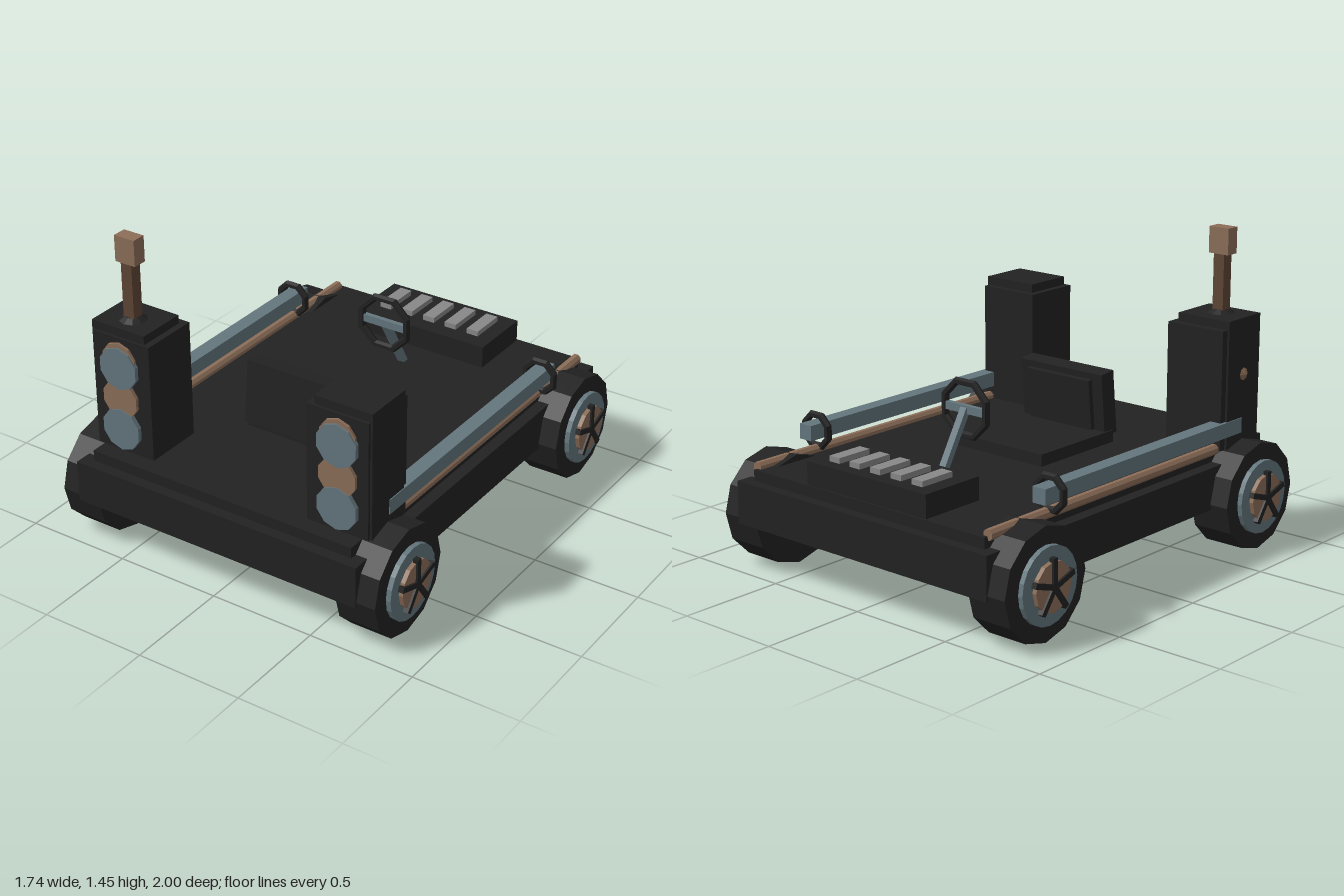
import * as THREE from 'three';

const mat = (name, color) => {
  const m = new THREE.MeshStandardMaterial({ color, flatShading: true });
  m.name = name;
  return m;
};

export function createModel() {
  const black = mat('black', 0x222222);
  const steel = mat('steel blue', 0x64777e);
  const copper = mat('copper', 0x8c6e58);
  const brown = mat('dark brown', 0x5f4635);
  const grey = mat('grey', 0x888888);

  const root = new THREE.Group();
  root.name = 'buggy';

  const add = (parent, name, geo, m, x = 0, y = 0, z = 0) => {
    const mesh = new THREE.Mesh(geo, m);
    mesh.name = name;
    mesh.position.set(x, y, z);
    parent.add(mesh);
    return mesh;
  };
  // box given by its minimum and maximum corners
  const box = (parent, name, m, a, b) => add(parent, name,
    new THREE.BoxGeometry(b[0] - a[0], b[1] - a[1], b[2] - a[2]), m,
    (a[0] + b[0]) / 2, (a[1] + b[1]) / 2, (a[2] + b[2]) / 2);
  const group = (name, x = 0, y = 0, z = 0) => {
    const g = new THREE.Group();
    g.name = name;
    g.position.set(x, y, z);
    root.add(g);
    return g;
  };
  const disc = (r, len, sides, axis) => {
    const g = new THREE.CylinderGeometry(r, r, len, sides);
    return axis === 'x' ? g.rotateZ(-Math.PI / 2) : g.rotateX(Math.PI / 2);
  };

  // chassis and stepped deck
  box(root, 'chassis', black, [-0.725, 0.225, -1], [0.725, 0.42, 1]);
  box(root, 'deck', black, [-0.67, 0.42, -0.95], [0.67, 0.47, 0.95]);

  // wheels: tyre, rim, hub disc and five spokes
  for (const s of [-1, 1]) for (const z of [-0.745, 0.745]) {
    const w = group('wheel', 0, 0.25, z);
    add(w, 'tyre', disc(0.25, 0.195, 12, 'x'), black, s * 0.7175);
    add(w, 'rim', disc(0.17, 0.04, 20, 'x'), steel, s * 0.818);
    add(w, 'hub', disc(0.11, 0.04, 12, 'x'), copper, s * 0.838);
    for (let i = 0; i < 5; i++) {
      const geo = new THREE.BoxGeometry(0.025, 0.125, 0.025).translate(0, 0.0625, 0);
      add(w, 'spoke', geo, black, s * 0.855).rotation.x = i * Math.PI * 2 / 5;
    }
  }

  // side rails with collars
  for (const s of [-1, 1]) {
    const g = group('sideRail');
    add(g, 'upperRail', new THREE.BoxGeometry(0.07, 0.07, 1.365), steel, s * 0.68, 0.565, 0.052);
    const low = new THREE.CylinderGeometry(0.025, 0.025, 1.53, 8).rotateY(Math.PI / 8).rotateX(Math.PI / 2);
    add(g, 'lowerRail', low, copper, s * 0.67, 0.476, -0.165);
    const ring = new THREE.TorusGeometry(0.076, 0.018, 6, 8).rotateZ(Math.PI / 8);
    add(g, 'railCollar', ring, black, s * 0.68, 0.56, -0.56);
  }

  // speaker towers
  for (const s of [-1, 1]) {
    const t = group('speakerTower');
    add(t, 'cabinet', new THREE.BoxGeometry(0.3, 0.55, 0.28), black, s * 0.55, 0.745, 0.732);
    add(t, 'cabinetCore', new THREE.BoxGeometry(0.28, 0.59, 0.235), black, s * 0.571, 0.765, 0.743);
    const x = s * 0.557;
    add(t, 'tweeter', disc(0.09, 0.02, 10, 'z'), copper, x, 0.91, 0.874);
    add(t, 'middleCone', disc(0.093, 0.03, 10, 'z'), copper, x, 0.73, 0.873);
    for (const y of [0.88, 0.585])
      add(t, 'speakerCone', disc(0.1, 0.03, 10, 'z'), steel, x, y, 0.877);
  }

  // mast on the right tower and small knob on its outer side
  const mast = group('mast', -0.57, 0, 0.757);
  add(mast, 'mastBase', new THREE.CylinderGeometry(0.035, 0.065, 0.018, 10), black, 0, 1.068, 0);
  box(mast, 'mastPole', brown, [-0.028, 1.06, -0.028], [0.028, 1.33, 0.028]);
  box(mast, 'mastHead', copper, [-0.052, 1.33, -0.033], [0.052, 1.45, 0.033]);
  add(root, 'sideKnob', new THREE.ConeGeometry(0.035, 0.02, 8).rotateZ(Math.PI / 2),
    copper, -0.718, 0.8, 0.745);

  // seat with back leaning towards the steering wheel
  const seat = group('seat');
  box(seat, 'seatBase', black, [-0.245, 0.47, -0.1], [0.245, 0.525, 0.4]);
  const back = new THREE.Group();
  back.name = 'seatBack';
  back.position.set(0, 0.505, 0.39);
  back.rotation.x = -0.1;
  seat.add(back);
  box(back, 'backrest', black, [-0.237, 0, -0.04], [0.237, 0.295, 0.045]);
  box(back, 'backCushion', black, [-0.18, 0.03, -0.065], [0.18, 0.265, -0.04]);

  // control panel with five keys
  const panel = group('controlPanel');
  box(panel, 'panelBody', black, [-0.345, 0.47, -0.94], [0.345, 0.575, -0.62]);
  for (let i = -2; i <= 2; i++)
    box(panel, 'key', grey, [i * 0.12 - 0.03, 0.575, -0.88], [i * 0.12 + 0.03, 0.6, -0.7]);

  // steering wheel, crossbar and column
  const steer = group('steering');
  add(steer, 'steeringWheel', new THREE.TorusGeometry(0.128, 0.018, 6, 8).rotateZ(Math.PI / 8),
    black, 0, 0.735, -0.32);
  box(steer, 'crossbar', steel, [-0.12, 0.717, -0.332], [0.12, 0.753, -0.308]);
  const column = add(steer, 'steeringColumn', new THREE.BoxGeometry(0.035, 0.32, 0.03),
    steel, 0, 0.6, -0.402);
  column.rotation.x = 0.53;

  return root;
}
